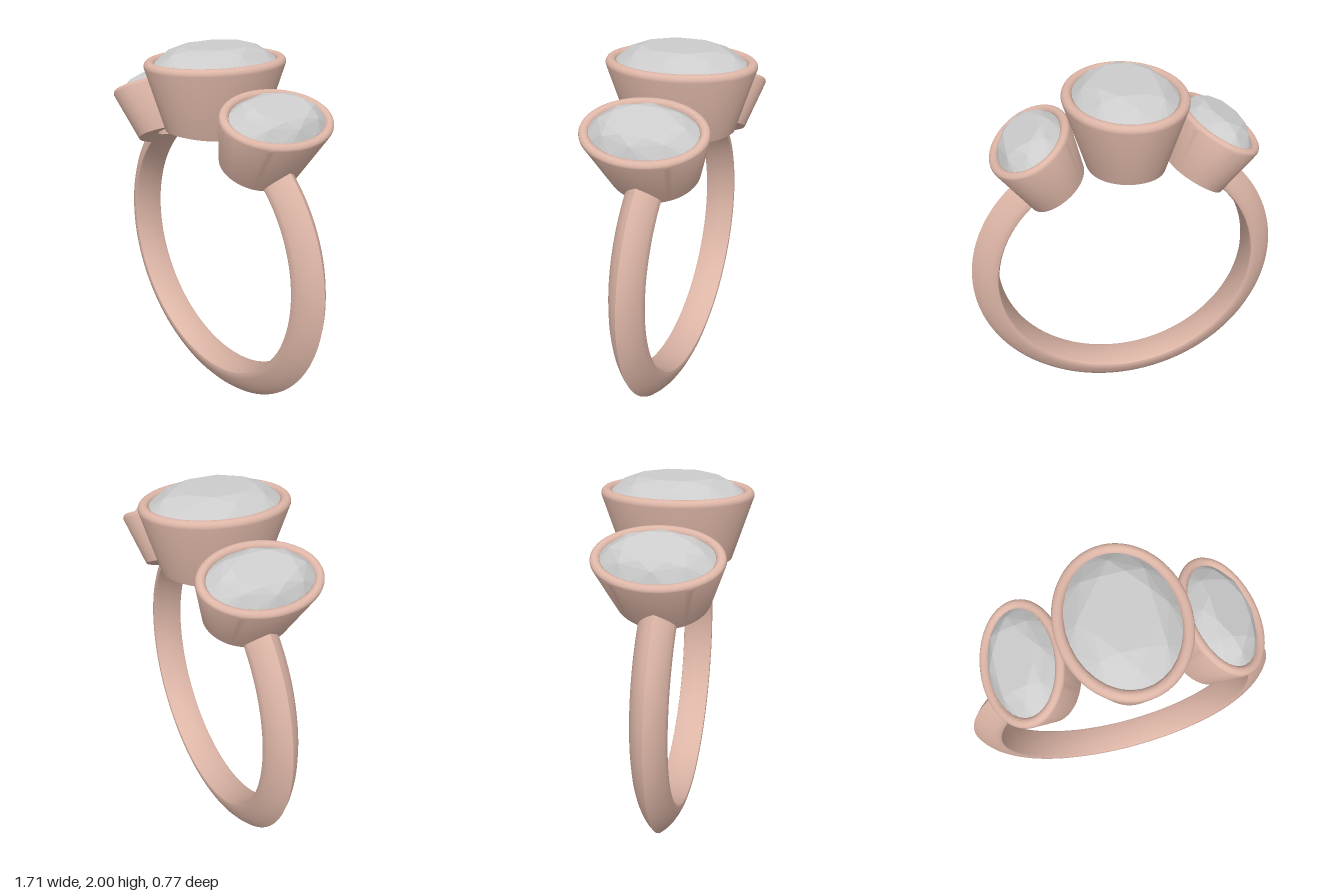
import * as THREE from 'three';
import { toCreasedNormals } from 'three/addons/utils/BufferGeometryUtils.js';
import { ConvexGeometry } from 'three/addons/geometries/ConvexGeometry.js';

const metal = new THREE.MeshStandardMaterial({ color: 0xdcb5a6, side: THREE.DoubleSide });
const stone = new THREE.MeshStandardMaterial({ color: 0xcccccc, flatShading: true });
const CENTRE_Y = 0.88, INNER_R = 0.71;

// Surface through a grid of points: point(i, j) for i in 0..rows, j in 0..cols
function gridSurface(rows, cols, point, crease) {
  const pos = [], index = [];
  for (let i = 0; i <= rows; i++)
    for (let j = 0; j <= cols; j++) pos.push(...point(i, j));
  for (let i = 0; i < rows; i++)
    for (let j = 0; j < cols; j++) {
      const p = i * (cols + 1) + j, q = p + cols + 1;
      index.push(p, q, p + 1, q, q + 1, p + 1);
    }
  const g = new THREE.BufferGeometry();
  g.setAttribute('position', new THREE.Float32BufferAttribute(pos, 3));
  g.setIndex(index);
  return toCreasedNormals(g, crease);
}

function mesh(name, geometry, material) {
  const m = new THREE.Mesh(geometry, material);
  m.name = name;
  return m;
}

// Band: knife-edged section swept along an arc, thicker towards the bottom
function band() {
  // [share of the thickness, half width]
  const half = [[0, 0.078], [0.04, 0.09], [0.12, 0.093], [0.3, 0.084], [0.5, 0.069], [0.7, 0.049], [0.87, 0.025], [1, 0]];
  const section = [[0, 0], ...half, ...half.slice(0, -1).reverse().map(([u, w]) => [u, -w]), [0, 0]];
  const start = THREE.MathUtils.degToRad(49), steps = 128;
  return gridSurface(steps, section.length - 1, (i, j) => {
    const a = start - (i / steps) * (Math.PI + 2 * start);
    const [u, w] = section[j];
    const thickness = 0.145 - 0.025 * Math.sin(a);
    const r = INNER_R + u * thickness;
    return [r * Math.cos(a), CENTRE_Y + r * Math.sin(a), w];
  }, 0.7);
}

// Oval tapered bezel, rim top at y = 0, underside cut to the finger hole
function bezel({ top, bottom, rim, drop, shift }) {
  const under = x => -drop + Math.sqrt(INNER_R ** 2 - (x + shift) ** 2);
  const hole = bottom.map(v => v * 0.5);
  const rows = [];
  for (const k of [0.5, 0.67, 0.84, 1]) rows.push([bottom[0] * k, bottom[1] * k, under]);
  for (let i = 0; i <= 10; i++) {
    const t = -0.2 + (i / 10) * (Math.PI + 0.2);
    const inset = rim * (1 - Math.cos(t));
    rows.push([top[0] - inset, top[1] - inset, rim * (Math.sin(t) - 1)]);
  }
  rows.push([top[0] - 2 * rim, top[1] - 2 * rim, -0.05]);
  rows.push([...hole, -0.18], [...hole, under]);
  const cols = 72;
  return gridSurface(rows.length - 1, cols, (i, j) => {
    const t = (j / cols) * Math.PI * 2, [a, b, y] = rows[i];
    const x = a * Math.cos(t);
    return [x, typeof y === 'function' ? y(x) : y, b * Math.sin(t)];
  }, 0.6);
}

// Oval faceted gem: table, crown, girdle, pavilion and culet
function gem(a, b, crown, depth) {
  const points = [new THREE.Vector3(0, -depth, 0)];
  const ring = (n, k, y, turn) => {
    for (let i = 0; i < n; i++) {
      const t = ((i + turn) / n) * Math.PI * 2;
      points.push(new THREE.Vector3(a * k * Math.cos(t), y, b * k * Math.sin(t)));
    }
  };
  ring(8, 0.6, crown, 0.5);
  ring(8, 0.81, crown * 0.6, 0);
  ring(32, 1, -0.015, 0);
  ring(32, 1, -0.03, 0);
  ring(8, 0.5, -depth * 0.6, 0.5);
  return new ConvexGeometry(points);
}

function setting(name, spec) {
  const g = new THREE.Group();
  g.name = name;
  g.add(mesh('bezel', bezel(spec), metal));
  const [a, b] = spec.top.map(v => v - 2 * spec.rim + 0.002);
  g.add(mesh('gem', gem(a, b, spec.crown, spec.depth), stone));
  return g;
}

export function createModel() {
  const ring = new THREE.Group();
  ring.name = 'ring';
  ring.add(mesh('band', band(), metal));

  // Large centre stone
  const centre = setting('centreSetting', {
    top: [0.307, 0.385], bottom: [0.203, 0.285], rim: 0.0275,
    drop: 1.94 - CENTRE_Y, shift: 0, crown: 0.06, depth: 0.25,
  });
  centre.position.y = 1.94;
  ring.add(centre);

  // Smaller tilted stones on both shoulders
  for (const side of ['left', 'right']) {
    const s = setting(side + 'Setting', {
      top: [0.22, 0.315], bottom: [0.167, 0.238], rim: 0.0245,
      drop: 0.984, shift: 0.076, crown: 0.052, depth: 0.2,
    });
    s.position.set(0.485, 1.74, 0);
    s.rotation.z = -THREE.MathUtils.degToRad(25);
    const shoulder = new THREE.Group();
    shoulder.name = side + 'Shoulder';
    shoulder.rotation.y = side === 'left' ? 0 : Math.PI;
    shoulder.add(s);
    ring.add(shoulder);
  }
  return ring;
}
